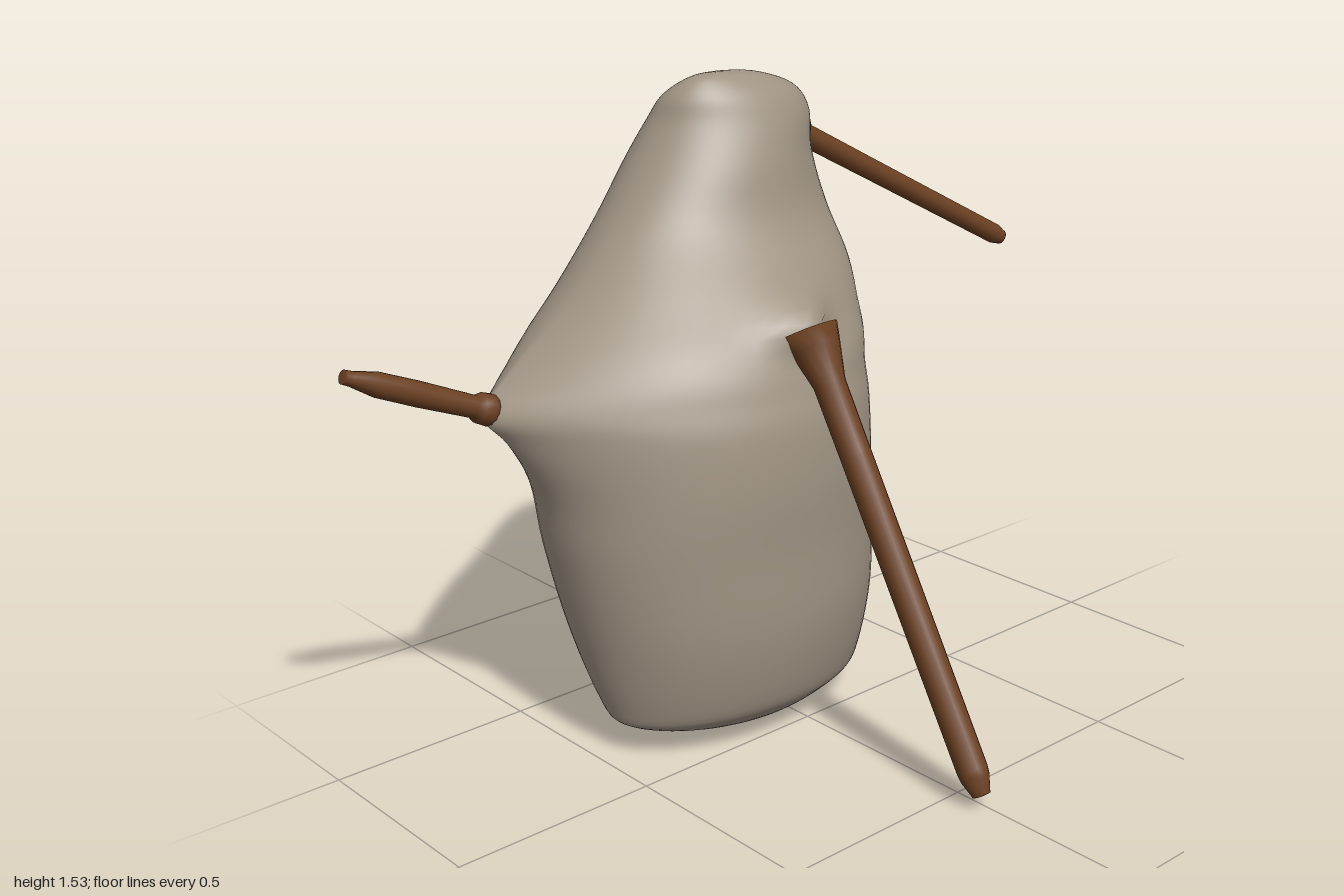
import * as THREE from 'three';

const cloth = new THREE.MeshStandardMaterial({ color: 0x9f9383 });
cloth.name = 'cloth';
const wood = new THREE.MeshStandardMaterial({ color: 0x6b4022 });
wood.name = 'wood';

// Bag cross-sections: y, right x, left x, side seam z, back z, front z, right pinch, left pinch
const SECTIONS = [
  [0.0, -0.09, -0.07, -0.15, -0.16, -0.14, 1, 1],
  [0.025, -0.26, 0.1, -0.15, -0.27, -0.04, 1, 1],
  [0.07, -0.43, 0.245, -0.16, -0.36, 0.025, 1.1, 1.1],
  [0.13, -0.47, 0.275, -0.17, -0.42, 0.065, 1.05, 1.05],
  [0.3, -0.51, 0.305, -0.2, -0.49, 0.1, 0.95, 0.95],
  [0.5, -0.545, 0.31, -0.23, -0.54, 0.105, 0.95, 0.9],
  [0.65, -0.57, 0.31, -0.25, -0.565, 0.11, 1.1, 0.9],
  [0.78, -0.635, 0.32, -0.28, -0.585, 0.1, 1.5, 0.9],
  [0.855, -0.68, 0.33, -0.31, -0.595, 0.08, 1.8, 0.9],
  [0.94, -0.59, 0.35, -0.32, -0.6, 0.045, 1.5, 0.9],
  [1.07, -0.42, 0.36, -0.33, -0.595, -0.05, 1.1, 0.95],
  [1.2, -0.29, 0.34, -0.36, -0.575, -0.145, 1, 1.05],
  [1.33, -0.19, 0.32, -0.38, -0.55, -0.185, 1, 1.25],
  [1.42, -0.13, 0.33, -0.385, -0.51, -0.215, 1, 1.4],
  [1.48, -0.1, 0.27, -0.37, -0.455, -0.245, 1, 1.2],
  [1.52, -0.05, 0.14, -0.34, -0.385, -0.29, 1, 1],
  [1.53, 0.0, 0.03, -0.33, -0.335, -0.325, 1, 1],
];

// Smooth blend between neighbouring sections
function sectionAt(t) {
  const last = SECTIONS.length - 1;
  const i = Math.min(Math.floor(t), last - 1);
  const f = t - i;
  const row = (k) => SECTIONS[Math.max(0, Math.min(last, k))];
  return row(i).map((b, k) => {
    const a = row(i - 1)[k], c = row(i + 1)[k], d = row(i + 2)[k];
    return b + 0.5 * f * (c - a + f * (2 * a - 5 * b + 4 * c - d + f * (3 * (b - c) + d - a)));
  });
}

function bagGeometry() {
  const around = 72, rings = (SECTIONS.length - 1) * 5;
  const positions = [], index = [];
  for (let r = 0; r <= rings; r++) {
    const [y, xr, xl, seam, back, front, pinchR, pinchL] = sectionAt((r / rings) * (SECTIONS.length - 1));
    const cx = Math.max((xr + xl) / 2, -0.09);
    for (let s = 0; s < around; s++) {
      const a = (s / around) * Math.PI * 2;
      const c = Math.cos(a), n = Math.sin(a);
      const x = cx + c * (c > 0 ? xl - cx : cx - xr);
      const depth = Math.pow(Math.abs(n), c > 0 ? pinchL : pinchR);
      let z = seam + depth * ((n > 0 ? front : back) - seam);
      // Cloth drawn out around the front pipe
      if (n > 0) z += 0.075 * Math.exp(-(((x + 0.04) / 0.09) ** 2) - ((y - 1.02) / 0.055) ** 2);
      positions.push(x, y, z);
    }
  }
  for (let r = 0; r < rings; r++) {
    for (let s = 0; s < around; s++) {
      const a = r * around + s, b = r * around + ((s + 1) % around);
      index.push(a, a + around, b, b, a + around, b + around);
    }
  }
  // Closing caps at bottom and top
  const bottom = positions.length / 3;
  positions.push(-0.08, 0, -0.15, 0.015, 1.53, -0.33);
  for (let s = 0; s < around; s++) {
    const t = (s + 1) % around, top = rings * around;
    index.push(bottom, s, t, bottom + 1, top + t, top + s);
  }
  const g = new THREE.BufferGeometry();
  g.setAttribute('position', new THREE.Float32BufferAttribute(positions, 3));
  g.setIndex(index);
  g.computeVertexNormals();
  return g;
}

// Turned pipe from one point to another; profile is [radius, distance], negative distance counts from the tip
function pipe(name, from, to, profile) {
  const start = new THREE.Vector3(...from);
  const dir = new THREE.Vector3(...to).sub(start);
  const length = dir.length();
  const points = profile.map(([r, d]) => new THREE.Vector2(r, d < 0 ? length + d : d));
  points.unshift(new THREE.Vector2(0, points[0].y));
  points.push(new THREE.Vector2(profile.at(-1)[0], length), new THREE.Vector2(0, length));
  const mesh = new THREE.Mesh(new THREE.LatheGeometry(points, 14), wood);
  mesh.name = name;
  mesh.position.copy(start);
  mesh.quaternion.setFromUnitVectors(new THREE.Vector3(0, 1, 0), dir.normalize());
  return mesh;
}

export function createModel() {
  const model = new THREE.Group();
  model.name = 'bagpipe';

  const bag = new THREE.Mesh(bagGeometry(), cloth);
  bag.name = 'bag';
  model.add(bag);

  // Long drone with a flared socket
  model.add(pipe('frontPipe', [-0.04, 1.0, 0.05], [-0.015, 0.035, 0.585],
    [[0.066, 0], [0.058, 0.04], [0.038, 0.13], [0.037, 0.3], [0.036, -0.06], [0.034, -0.04], [0.022, -0.003]]));
  // Upper pipe with a ring collar
  model.add(pipe('upperPipe', [0.3, 1.362, -0.392], [0.993, 0.99, -0.3],
    [[0.04, 0], [0.045, 0.015], [0.043, 0.035], [0.029, 0.05], [0.028, 0.3], [0.027, -0.03], [0.02, -0.003]]));
  // Short mouthpiece with a narrowed tip
  model.add(pipe('mouthpiece', [-0.645, 0.855, -0.312], [-0.995, 1.003, -0.337],
    [[0.034, 0], [0.037, 0.02], [0.035, 0.045], [0.026, 0.06], [0.029, 0.2], [0.028, -0.08], [0.017, -0.02], [0.016, -0.003]]));

  return model;
}
